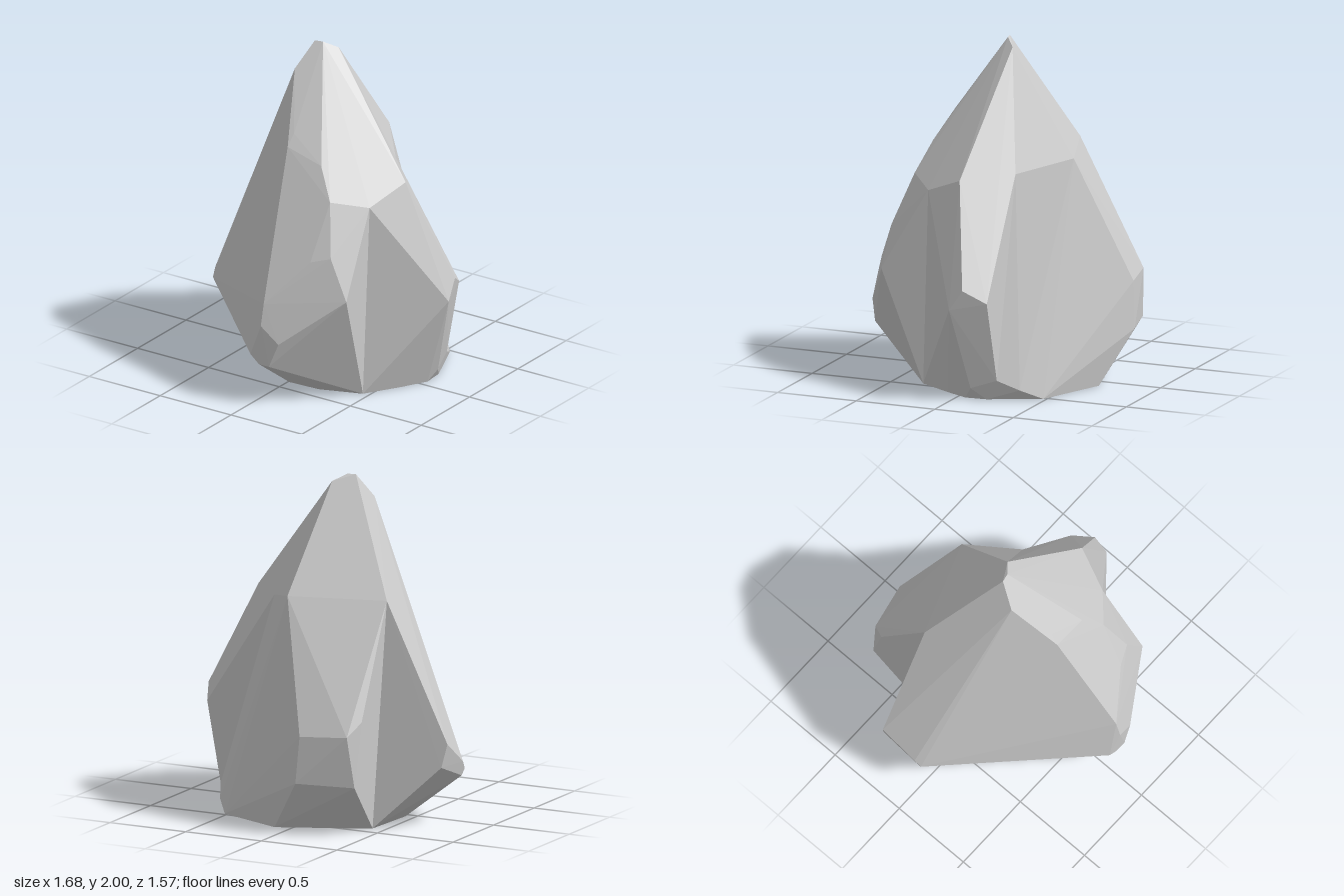
import * as THREE from 'three';
import { ConvexGeometry } from 'three/addons/geometries/ConvexGeometry.js';

// Key points shared by neighbouring lobes, so their creases meet exactly
const peak = [[-0.09, 2, 0], [-0.04, 2, -0.01], [0.03, 1.96, -0.07]];
const core = [[0, 0, -0.1], [0, 1, -0.1]];
const frontValley = [[0.48, 1.17, 0.27], [0.46, 0, 0.31]];
const sideValley = [[-0.45, 1.34, -0.29], [-0.42, 0, -0.41]];
const backValley = [[0.33, 1.28, -0.22], [0.67, 0.12, -0.25], [0.66, 0, -0.18]];

// Each lobe of the rock is the faceted hull of a few corner points
const lobes = {
  frontLobe: [
    ...peak, ...core, ...frontValley, ...sideValley,
    // upper ridge
    [-0.15, 1.85, 0.12], [-0.02, 1.54, 0.32], [-0.03, 1.47, 0.37],
    [0.2, 1.4, 0.36], [0.31, 1.22, 0.43],
    // shoulder
    [0.39, 0.92, 0.54], [0.28, 0.89, 0.59], [0.51, 0.68, 0.555],
    // front nose
    [0.06, 0.63, 0.75], [0.06, 0.5, 0.78], [-0.02, 0.3, 0.77],
    [0.04, 0.25, 0.77], [0.11, 0.25, 0.77], [0.17, 0.4, 0.76],
    // side corner
    [-0.84, 0.52, -0.27], [-0.81, 0.38, -0.29], [-0.82, 0.37, -0.04],
    [-0.81, 0.32, 0], [-0.8, 0.28, -0.02],
    // foot
    [-0.44, 0, -0.04], [0.01, 0, 0.41], [0.21, 0, 0.4],
  ],
  sideLobe: [
    ...peak, ...core, ...frontValley, ...backValley,
    [0.57, 1.27, 0.03], [0.83, 0.68, -0.1], [0.84, 0.56, -0.02], [0.77, 0.6, -0.23],
    [0.68, 0.04, -0.09], [0.71, 0.07, -0.1], [0.59, 0, 0.1], [0.67, 0, -0.05],
  ],
  backLobe: [
    ...peak, ...core, ...sideValley, ...backValley,
    [0.1, 1.35, -0.49], [-0.13, 0.59, -0.77], [-0.11, 0.31, -0.785],
    [-0.46, 0.68, -0.62], [-0.41, 0.6, -0.71], [-0.45, 0.3, -0.69],
    [-0.28, 0, -0.48], [0.1, 0, -0.65], [0.52, 0, -0.48], [0.61, 0.06, -0.37],
  ],
};

export function createModel() {
  const rock = new THREE.Group();
  rock.name = 'rock';
  const stone = new THREE.MeshStandardMaterial({ color: 0xcccccc, flatShading: true });
  for (const [name, points] of Object.entries(lobes)) {
    const hull = new ConvexGeometry(points.map((p) => new THREE.Vector3(...p)));
    const mesh = new THREE.Mesh(hull, stone);
    mesh.name = name;
    rock.add(mesh);
  }
  return rock;
}
